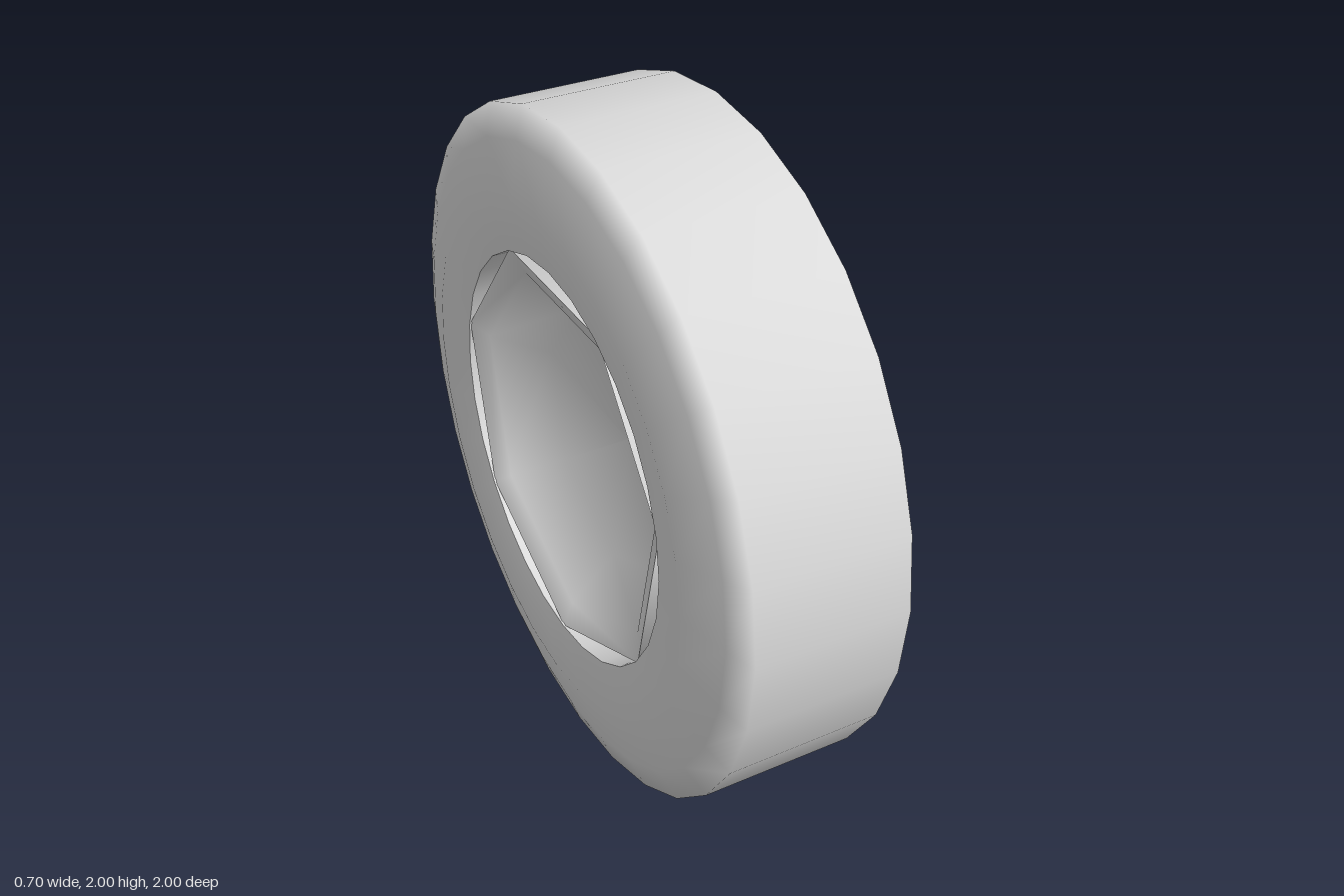
import * as THREE from 'three';

export function createModel() {
  const wheel = new THREE.Group();
  wheel.name = 'wheel';

  const grey = new THREE.MeshStandardMaterial({ color: 0xdadada, side: THREE.DoubleSide });
  grey.name = 'plain grey';

  // Adds a geometry built around y, turned so that its axis runs along +x
  function add(name, geometry, x = 0) {
    geometry.rotateZ(-Math.PI / 2);
    const mesh = new THREE.Mesh(geometry, grey);
    mesh.name = name;
    mesh.position.set(x, 1, 0);
    wheel.add(mesh);
  }

  // Revolves a profile of [radius, x] pairs
  function turn(name, profile, sides, start = 0) {
    const points = profile.map(([r, x]) => new THREE.Vector2(r, x));
    add(name, new THREE.LatheGeometry(points, sides, start, Math.PI * 2));
  }

  // Tyre: rounded tread and sidewalls, then the inner wall with a sharp edge
  turn('tyre', [
    [0.6, -0.325], [0.75, -0.35], [0.91, -0.31], [1, -0.28],
    [1, 0.17], [0.9, 0.2], [0.75, 0.235], [0.6, 0.205],
  ], 28);
  turn('tyreInnerWall', [[0.6, 0.205], [0.6, -0.325]], 28);

  // Seven-sided rim; its back edge is turned against its front edge
  const frontStart = THREE.MathUtils.degToRad(-82);
  const twist = THREE.MathUtils.degToRad(18);
  const rimRadius = 0.605;
  const rimFront = 0.185;
  const rimBack = -0.32;

  const barrel = new THREE.CylinderGeometry(
    rimRadius, rimRadius, rimFront - rimBack, 7, 1, true, frontStart);
  const position = barrel.attributes.position;
  const corner = new THREE.Vector3();
  const axis = new THREE.Vector3(0, 1, 0);
  for (let i = 0; i < position.count; i++) {
    corner.fromBufferAttribute(position, i);
    if (corner.y < 0) corner.applyAxisAngle(axis, twist);
    position.setXYZ(i, corner.x, corner.y, corner.z);
  }
  barrel.computeVertexNormals();
  add('rimBarrel', barrel, (rimFront + rimBack) / 2);

  // Rim face: broad lip, sloping wall and a flat floor
  turn('rimLip', [
    [rimRadius, rimFront], [0.51, 0.2], [0.43, 0.175], [0.33, 0.075],
  ], 7, frontStart);
  turn('rimFloor', [[0.315, 0.08], [0, 0.08]], 14);

  // Hollow back of the rim
  turn('rimBackBowl', [
    [0, -0.1], [0.4, -0.15], [0.53, -0.29], [rimRadius, rimBack],
  ], 7, frontStart + twist);

  // Hub: low pad and a tapered four-sided spindle
  add('hubPad', new THREE.CylinderGeometry(0.165, 0.165, 0.02, 8), 0.085);
  add('hubSpindle', new THREE.CylinderGeometry(0.075, 0.17, 0.27, 4), 0.215);

  return wheel;
}
